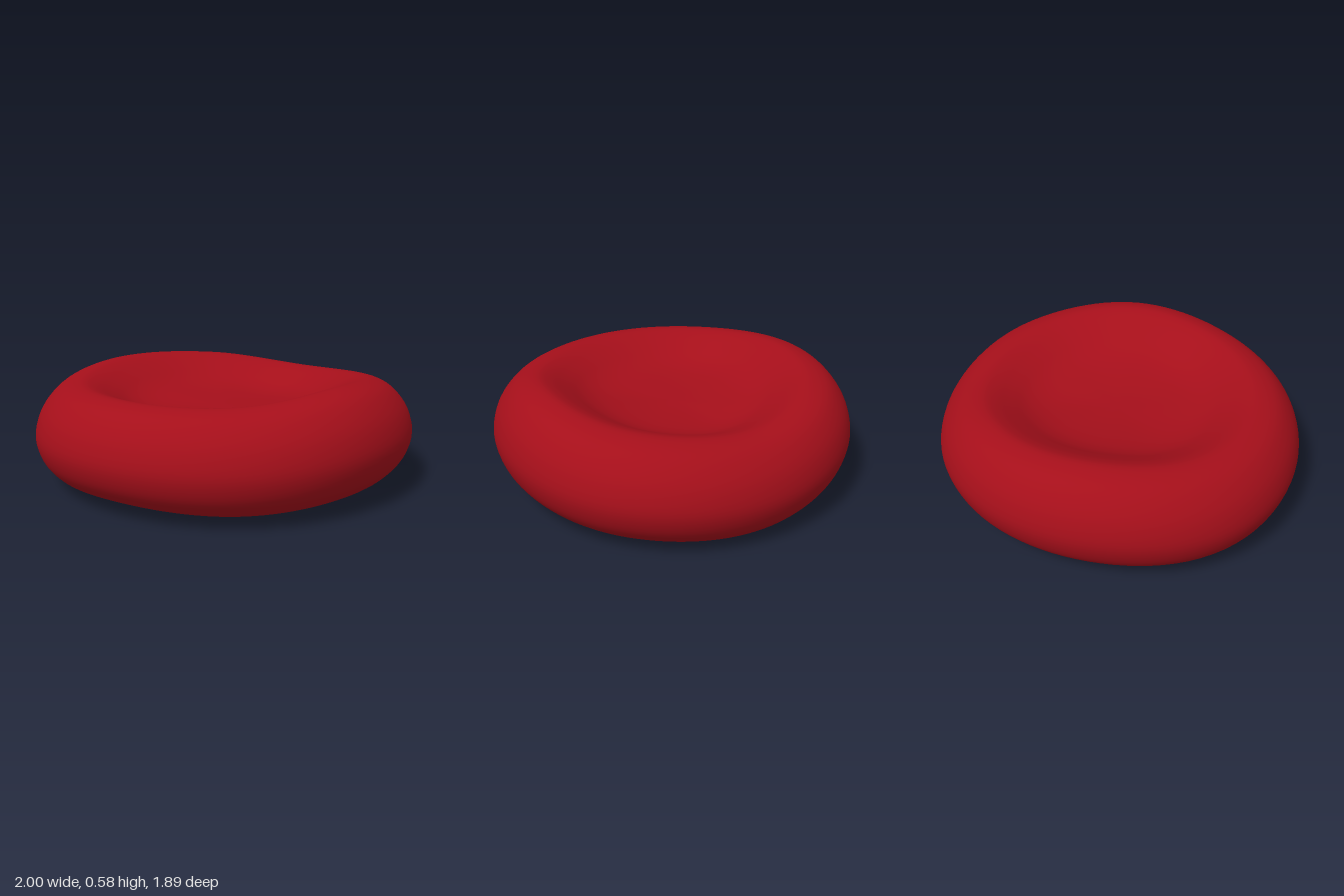
import * as THREE from 'three';
import { mergeVertices } from 'three/addons/utils/BufferGeometryUtils.js';

// Upper half of the cross-section: [radius, height above the mid plane]
const CREST = 0.26;
const HALF = [[1, 0], [0.975, 0.105], [0.92, 0.185], [0.85, 0.238], [0.755, CREST],
  [0.68, 0.242], [0.59, 0.198], [0.49, 0.148], [0.37, 0.117], [0.18, 0.102], [0, 0.1]];

// Heights of the upper and lower rim crests every 45 degrees, from +x towards +z
const RIM = new THREE.CatmullRomCurve3([
  [0.532, 0.03], [0.585, 0.045], [0.545, 0.038], [0.537, 0.05],
  [0.535, 0.015], [0.565, 0.04], [0.54, 0.03], [0.49, 0],
].map(([top, bottom]) => new THREE.Vector3(top, bottom, 0)), true, 'catmullrom', 0.5);

function cellGeometry() {
  // Mirror the half section and smooth it into one closed profile, bottom to top
  const lower = HALF.slice(1).reverse().map(([r, y]) => new THREE.Vector2(r, -y));
  const upper = HALF.map(([r, y]) => new THREE.Vector2(r, y));
  const profile = new THREE.SplineCurve([...lower, ...upper]).getPoints(80);
  profile.forEach((p) => { p.x = Math.max(p.x, 0); });
  profile[0].x = profile[profile.length - 1].x = 0;

  let geo = new THREE.LatheGeometry(profile, 96);
  const pos = geo.attributes.position;
  const { lerp, smoothstep, euclideanModulo } = THREE.MathUtils;
  for (let i = 0; i < pos.count; i++) {
    const x = pos.getX(i), z = pos.getZ(i);
    const r = Math.hypot(x, z), a = Math.atan2(z, x);
    // Slightly irregular outline
    const s = 0.967 + 0.0275 * Math.cos(2 * a) + 0.0055 * Math.cos(4 * a);
    // Follow the wavy rim, fading to an even centre, with a drooping outer edge
    const rim = RIM.getPoint(euclideanModulo(a / (2 * Math.PI), 1));
    const w = smoothstep(r, 0, 0.75);
    const mid = lerp(0.282, (rim.x + rim.y) / 2, w);
    const half = lerp(CREST, (rim.x - rim.y) / 2, w);
    const droop = -0.016 * r ** 8;
    pos.setXYZ(i, x * s, mid + pos.getY(i) / CREST * half + droop, z * s);
  }

  // Weld the seam for continuous smooth normals
  geo.deleteAttribute('uv');
  geo.deleteAttribute('normal');
  geo = mergeVertices(geo, 1e-4);
  geo.computeVertexNormals();

  // Stand on the ground, centred
  geo.computeBoundingBox();
  const { min, max } = geo.boundingBox;
  geo.translate(-(min.x + max.x) / 2, -min.y, -(min.z + max.z) / 2);
  return geo;
}

export function createModel() {
  const group = new THREE.Group();
  group.name = 'bloodCell';
  const body = new THREE.Mesh(cellGeometry(), new THREE.MeshStandardMaterial({ color: 0xa50f1a }));
  body.name = 'dimpledDisc';
  group.add(body);
  return group;
}
